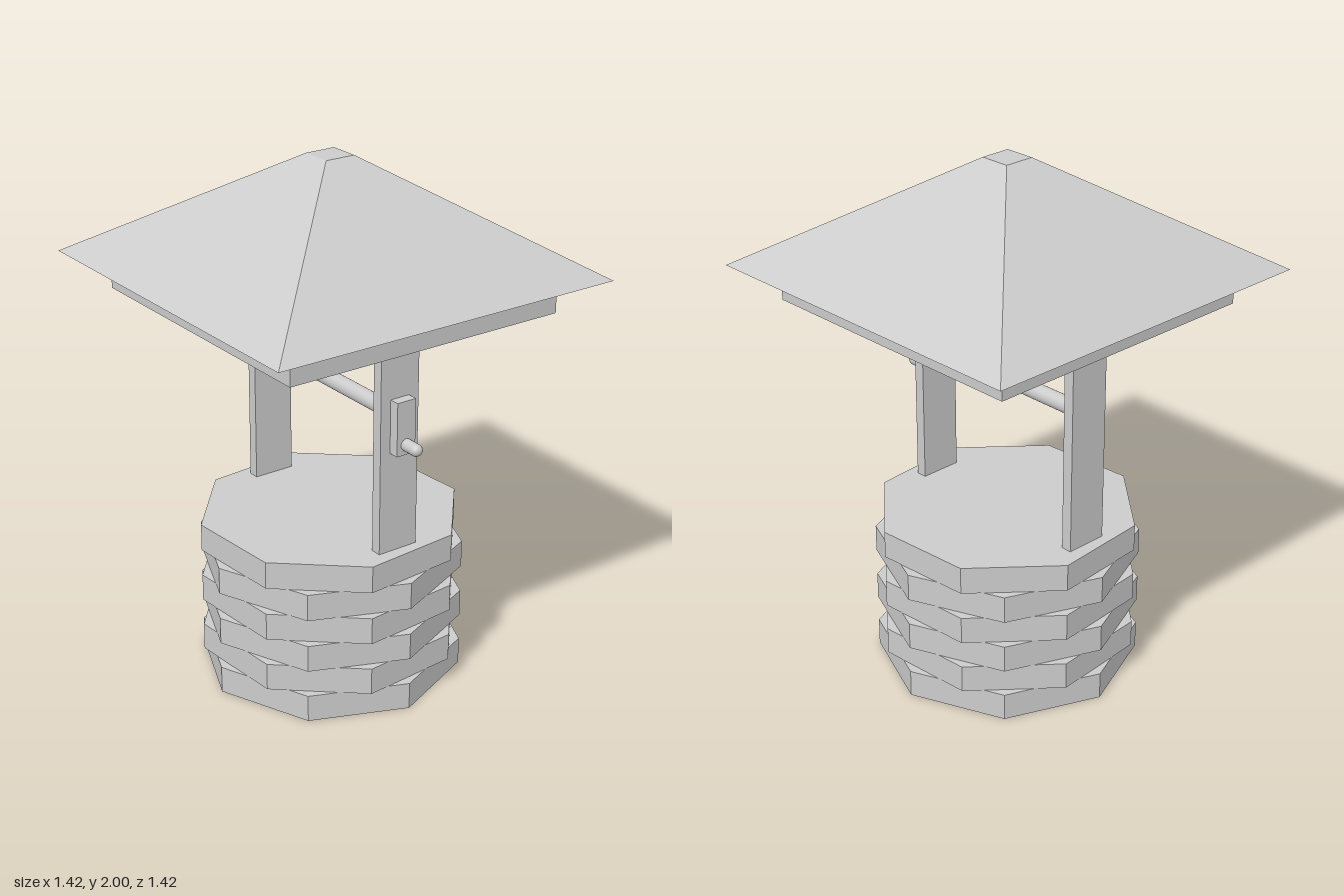
import * as THREE from 'three';

const flat = new THREE.MeshStandardMaterial({ color: 0xcccccc, flatShading: true });
const smooth = new THREE.MeshStandardMaterial({ color: 0xcccccc });

export function createModel() {
  const model = new THREE.Group();
  model.name = 'well';

  const add = (name, geometry, x, y, z, material = flat, parent = model) => {
    const mesh = new THREE.Mesh(geometry, material);
    mesh.name = name;
    mesh.position.set(x, y, z);
    parent.add(mesh);
    return mesh;
  };

  // Stone base: six octagonal courses, every second one turned
  const base = new THREE.Group();
  base.name = 'stoneBase';
  model.add(base);
  const courseHeight = 0.105;
  const turn = THREE.MathUtils.degToRad(26.8);
  for (let i = 0; i < 6; i++) {
    const course = new THREE.CylinderGeometry(0.5, 0.5, courseHeight, 8, 1, false, i % 2 ? turn : 0);
    add(`stoneCourse${i + 1}`, course, 0, (i + 0.5) * courseHeight, 0, flat, base);
  }

  // Posts, running up inside the roof frame
  for (const [name, side] of [['frontPost', 1], ['backPost', -1]]) {
    add(name, new THREE.BoxGeometry(0.165, 0.96, 0.042), 0, 1.11, side * 0.394);
  }

  // Rope axle between the posts
  const axle = new THREE.CylinderGeometry(0.031, 0.031, 0.76, 24).rotateX(Math.PI / 2);
  add('axle', axle, 0, 1.155, 0, smooth);

  // Crank arm and round-ended handle on the front post
  add('crankArm', new THREE.BoxGeometry(0.08, 0.205, 0.042), 0, 1.122, 0.434);
  const handle = new THREE.CapsuleGeometry(0.023, 0.065, 8, 20).rotateX(Math.PI / 2);
  add('crankHandle', handle, 0, 1.058, 0.479, smooth);

  // Open square frame under the roof
  const square = (Type, h) => new Type([[-h, -h], [h, -h], [h, h], [-h, h]].map(([x, y]) => new THREE.Vector2(x, y)));
  const frameShape = square(THREE.Shape, 0.57);
  frameShape.holes.push(square(THREE.Path, 0.43));
  const frame = new THREE.ExtrudeGeometry(frameShape, { depth: 0.132, bevelEnabled: false }).rotateX(-Math.PI / 2);
  add('roofFrame', frame, 0, 1.458, 0);

  // Four-sided roof with a small flat top
  const roof = new THREE.CylinderGeometry(0.06 * Math.SQRT2, 0.708 * Math.SQRT2, 0.41, 4, 1, false, Math.PI / 4);
  add('roof', roof, 0, 1.795, 0);

  return model;
}
